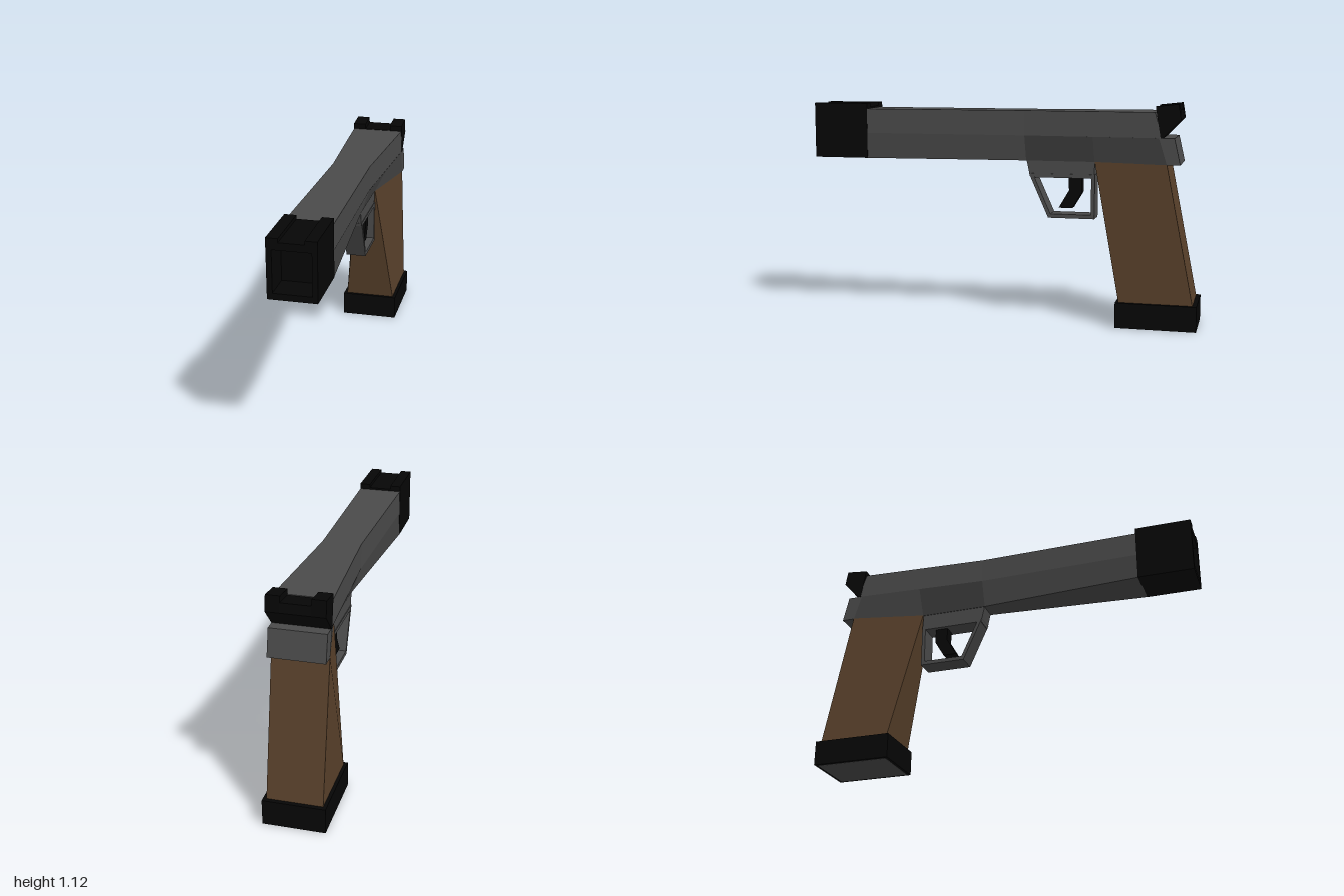
import * as THREE from 'three';

const mat = (name, color) => {
  const m = new THREE.MeshStandardMaterial({ color });
  m.name = name;
  return m;
};

export function createModel() {
  const model = new THREE.Group();
  model.name = 'pistol';
  const steel = mat('grey steel', 0x4a4a4a);
  const black = mat('black polymer', 0x060606);
  const wood = mat('brown wood', 0x59412b);

  const add = (name, geometry, material, x = 0, y = 0, z = 0) => {
    const mesh = new THREE.Mesh(geometry, material);
    mesh.name = name;
    mesh.position.set(x, y, z);
    model.add(mesh);
    return mesh;
  };
  const outline = (pts) => pts.map(([a, b]) => new THREE.Vector2(a, b));

  // Side profile given as [z, y], extruded to a width along x and centred;
  // a hole runs the opposite way round to its outline
  const sideProfile = (pts, width, hole) => {
    const shape = new THREE.Shape(outline(pts));
    if (hole) shape.holes.push(new THREE.Path(outline(hole)));
    const g = new THREE.ExtrudeGeometry(shape, { depth: width, bevelEnabled: false });
    g.translate(0, 0, -width / 2);
    g.rotateY(-Math.PI / 2);
    return g;
  };

  // Four-sided loft; each section runs front to back as
  // [z at top, z at bottom, half width at top, half width at bottom].
  // Each quad, even a twisted one, gets a single normal.
  const loft = (top, bottom, sections) => {
    const pos = [], normals = [];
    const rings = sections.map(([zt, zb, wt, wb]) => [
      [-wt, top, zt], [wt, top, zt], [wb, bottom, zb], [-wb, bottom, zb],
    ].map((p) => new THREE.Vector3(...p)));
    const quad = (a, b, c, d) => {
      const n = c.clone().sub(a).cross(d.clone().sub(b)).normalize();
      for (const v of [a, b, c, a, c, d]) {
        pos.push(v.x, v.y, v.z);
        normals.push(n.x, n.y, n.z);
      }
    };
    for (let i = 0; i < rings.length - 1; i++) {
      const f = rings[i], r = rings[i + 1];
      quad(f[0], f[1], r[1], r[0]);
      quad(f[1], f[2], r[2], r[1]);
      quad(f[2], f[3], r[3], r[2]);
      quad(r[0], r[3], f[3], f[0]);
    }
    const f = rings[0], r = rings[rings.length - 1];
    quad(f[3], f[2], f[1], f[0]);
    quad(r[0], r[1], r[2], r[3]);
    const g = new THREE.BufferGeometry();
    g.setAttribute('position', new THREE.Float32BufferAttribute(pos, 3));
    g.setAttribute('normal', new THREE.Float32BufferAttribute(normals, 3));
    return g;
  };

  // Waisted slide, and the lower frame that pinches in above the trigger
  add('slide', loft(1.075, 0.95, [
    [0.72, 0.72, 0.112, 0.112], [-0.12, -0.12, 0.097, 0.097], [-0.78, -0.815, 0.135, 0.135],
  ]), steel);
  add('frame', loft(0.95, 0.82, [
    [0.72, 0.72, 0.112, 0.112], [-0.12, -0.12, 0.097, 0.052], [-0.47, -0.47, 0.117, 0.052],
    [-0.8, -0.84, 0.135, 0.135], [-0.875, -0.905, 0.135, 0.135],
  ]), steel);

  // Square muzzle block with a sight channel on top and a hollow bore
  const muzzle = new THREE.Shape(outline([
    [-0.113, 0.82], [0.113, 0.82], [0.113, 1.103], [0.058, 1.103],
    [0.058, 1.085], [-0.058, 1.085], [-0.058, 1.103], [-0.113, 1.103],
  ]));
  muzzle.holes.push(new THREE.Path(outline([
    [-0.088, 0.85], [-0.088, 1.05], [0.088, 1.05], [0.088, 0.85],
  ])));
  add('muzzleBlock', new THREE.ExtrudeGeometry(muzzle, { depth: 0.288, bevelEnabled: false }),
    black, 0, 0, 0.712);
  add('boreBack', new THREE.BoxGeometry(0.2, 0.22, 0.02), black, 0, 0.95, 0.85);

  // Rear sight: low centre with a raised ear on each side
  const sightBase = [[-0.905, 1.04], [-0.82, 0.95], [-0.808, 0.95]];
  add('rearSightCentre', sideProfile(
    [[-0.787, 1.075], [-0.896, 1.085], ...sightBase], 0.15), black);
  for (const side of [-1, 1]) {
    add(side > 0 ? 'leftSightEar' : 'rightSightEar', sideProfile(
      [[-0.782, 1.103], [-0.892, 1.115], ...sightBase], 0.067), black, side * 0.1035);
  }

  // Trigger housing, guard and trigger
  add('triggerHousing', sideProfile(
    [[-0.12, 0.83], [-0.14, 0.737], [-0.47, 0.737], [-0.47, 0.83]], 0.098), steel);
  add('triggerGuard', sideProfile(
    [[-0.135, 0.755], [-0.235, 0.53], [-0.472, 0.53], [-0.472, 0.755]], 0.104,
    [[-0.454, 0.735], [-0.454, 0.55], [-0.246, 0.55], [-0.163, 0.735]]), steel);
  add('trigger', sideProfile([
    [-0.335, 0.75], [-0.403, 0.75], [-0.403, 0.66], [-0.355, 0.58],
    [-0.285, 0.58], [-0.338, 0.67],
  ], 0.06), black);

  // Raked grip, narrow at the upper front
  add('grip', loft(0.825, 0.12, [
    [-0.47, -0.612, 0.052, 0.135], [-0.84, -0.98, 0.135, 0.135],
  ]), wood);

  // Grip base with an inset floor plate
  add('gripBase', new THREE.BoxGeometry(0.303, 0.127, 0.405), black, 0, 0.0645, -0.7975);
  add('floorPlate', new THREE.BoxGeometry(0.272, 0.004, 0.375), steel, 0, 0.002, -0.7975);

  return model;
}
